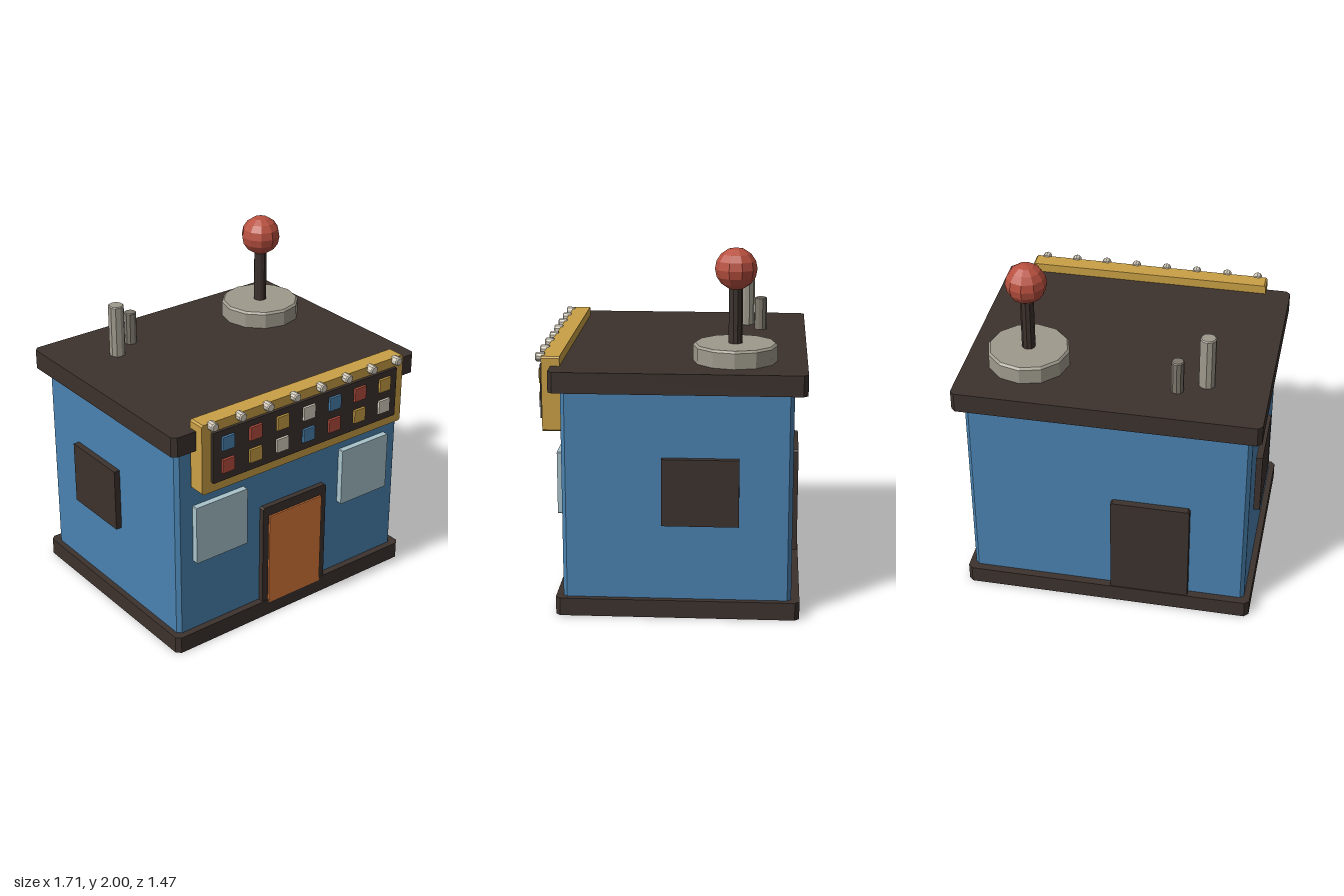
import * as THREE from 'three';

const COLORS = {
  dark: 0x3c322d, blue: 0x4a82b0, gold: 0xc9a045, red: 0xb8503f, white: 0xd8d0c0,
  orange: 0xdd7b3c, glass: 0xa9c4cc, grey: 0x9f9a8d, darkGrey: 0x7d776c,
};
const materials = {};
for (const [key, color] of Object.entries(COLORS)) {
  materials[key] = new THREE.MeshStandardMaterial({ color, flatShading: true });
}

function part(parent, name, geometry, color, x = 0, y = 0, z = 0) {
  const mesh = new THREE.Mesh(geometry, materials[color]);
  mesh.name = name;
  mesh.position.set(x, y, z);
  parent.add(mesh);
  return mesh;
}

// Rectangle with cut corners, centred on the origin
function cutRect(w, h, c) {
  const a = w / 2, b = h / 2;
  return new THREE.Shape([
    [-a + c, -b], [a - c, -b], [a, -b + c], [a, b - c],
    [a - c, b], [-a + c, b], [-a, b - c], [-a, -b + c],
  ].map(([x, y]) => new THREE.Vector2(x, y)));
}

// Slab lying flat from y0 to y1, with optional bevelled rims
function slab(w, d, y0, y1, cut, bevel = 0) {
  const geometry = new THREE.ExtrudeGeometry(cutRect(w, d, cut), {
    depth: y1 - y0 - 2 * bevel, bevelEnabled: bevel > 0,
    bevelThickness: bevel, bevelSize: bevel, bevelOffset: -bevel, bevelSegments: 1,
  });
  return geometry.rotateX(-Math.PI / 2).translate(0, y0 + bevel, 0);
}

// Upright panel between two corners, running from z0 to z1
function panel(parent, name, color, [x0, x1], [y0, y1], [z0, z1], cut = 0.004) {
  const geometry = new THREE.ExtrudeGeometry(cutRect(x1 - x0, y1 - y0, cut), { depth: z1 - z0, bevelEnabled: false });
  return part(parent, name, geometry, color, (x0 + x1) / 2, (y0 + y1) / 2, z0);
}

// Upright post with a chamfered top rim
function post(r, y0, y1, sides, c) {
  const profile = [[0, y0], [r, y0], [r, y1 - c], [r - c, y1], [0, y1]];
  return new THREE.LatheGeometry(profile.map(([x, y]) => new THREE.Vector2(x, y)), sides);
}

export function createModel() {
  const model = new THREE.Group();
  model.name = 'arcadeBuilding';

  // Main volumes
  part(model, 'base', slab(1.67, 1.34, 0, 0.1, 0.025), 'dark', 0, 0, -0.04);
  part(model, 'walls', slab(1.6, 1.255, 0.004, 1.265, 0.022, 0.01), 'blue', 0, 0, -0.037);
  part(model, 'roof', slab(1.71, 1.385, 1.265, 1.38, 0.025), 'dark', 0, 0, -0.0425);

  // Doors
  panel(model, 'doorFrame', 'dark', [-0.23, 0.23], [0.08, 0.72], [0.57, 0.622], 0.01);
  panel(model, 'frontDoor', 'orange', [-0.19, 0.19], [0.08, 0.66], [0.6, 0.632]);
  panel(model, 'backDoor', 'dark', [-0.475, -0.025], [0.08, 0.72], [-0.705, -0.64], 0.01);

  // Windows, one on each side of the door and one per side wall
  for (const s of [-1, 1]) {
    panel(model, 'frontWindow', 'glass', [s * 0.52 - 0.175, s * 0.52 + 0.175], [0.543, 0.895], [0.57, 0.626]);
    part(model, 'sideWindow', new THREE.BoxGeometry(0.06, 0.375, 0.42), 'dark', s * 0.806, 0.717, -0.165);
  }

  // Marquee sign with two rows of coloured tiles and a row of bulbs
  const sign = new THREE.Group();
  sign.name = 'marquee';
  model.add(sign);
  panel(sign, 'signBox', 'gold', [-0.71, 0.71], [1.015, 1.432], [0.6, 0.7], 0.01);
  panel(sign, 'signPanel', 'dark', [-0.65, 0.65], [1.073, 1.375], [0.68, 0.717]);
  const tileColors = ['blue', 'red', 'gold', 'white'];
  const tile = new THREE.BoxGeometry(0.08, 0.08, 0.03);
  for (let row = 0; row < 2; row++) {
    for (let i = 0; i < 7; i++) {
      part(sign, 'signTile', tile, tileColors[(i + row) % 4], (i - 3) * 0.185, 1.298 - row * 0.135, 0.716);
    }
  }
  const bulb = post(0.026, 0, 0.05, 10, 0.006).rotateX(Math.PI / 2);
  for (let i = 0; i < 8; i++) part(sign, 'signBulb', bulb, 'white', (i - 3.5) * 0.185, 1.417, 0.688);

  // Rooftop joystick
  const joystick = new THREE.Group();
  joystick.name = 'joystick';
  joystick.position.set(0.502, 0, -0.34);
  model.add(joystick);
  part(joystick, 'joystickPlate', post(0.232, 1.37, 1.478, 12, 0.012), 'grey');
  part(joystick, 'joystickShaft', new THREE.CylinderGeometry(0.038, 0.038, 0.36, 10), 'dark', 0, 1.64, 0);
  part(joystick, 'joystickBall', new THREE.SphereGeometry(0.115, 10, 8).rotateY(Math.PI / 2), 'red', 0, 1.885, 0);

  // Vent pipes
  part(model, 'tallPipe', post(0.046, 1.37, 1.685, 10, 0.006), 'grey', -0.507, 0, -0.384);
  part(model, 'shortPipe', post(0.036, 1.37, 1.572, 10, 0.005), 'darkGrey', -0.356, 0, -0.469);

  return model;
}
